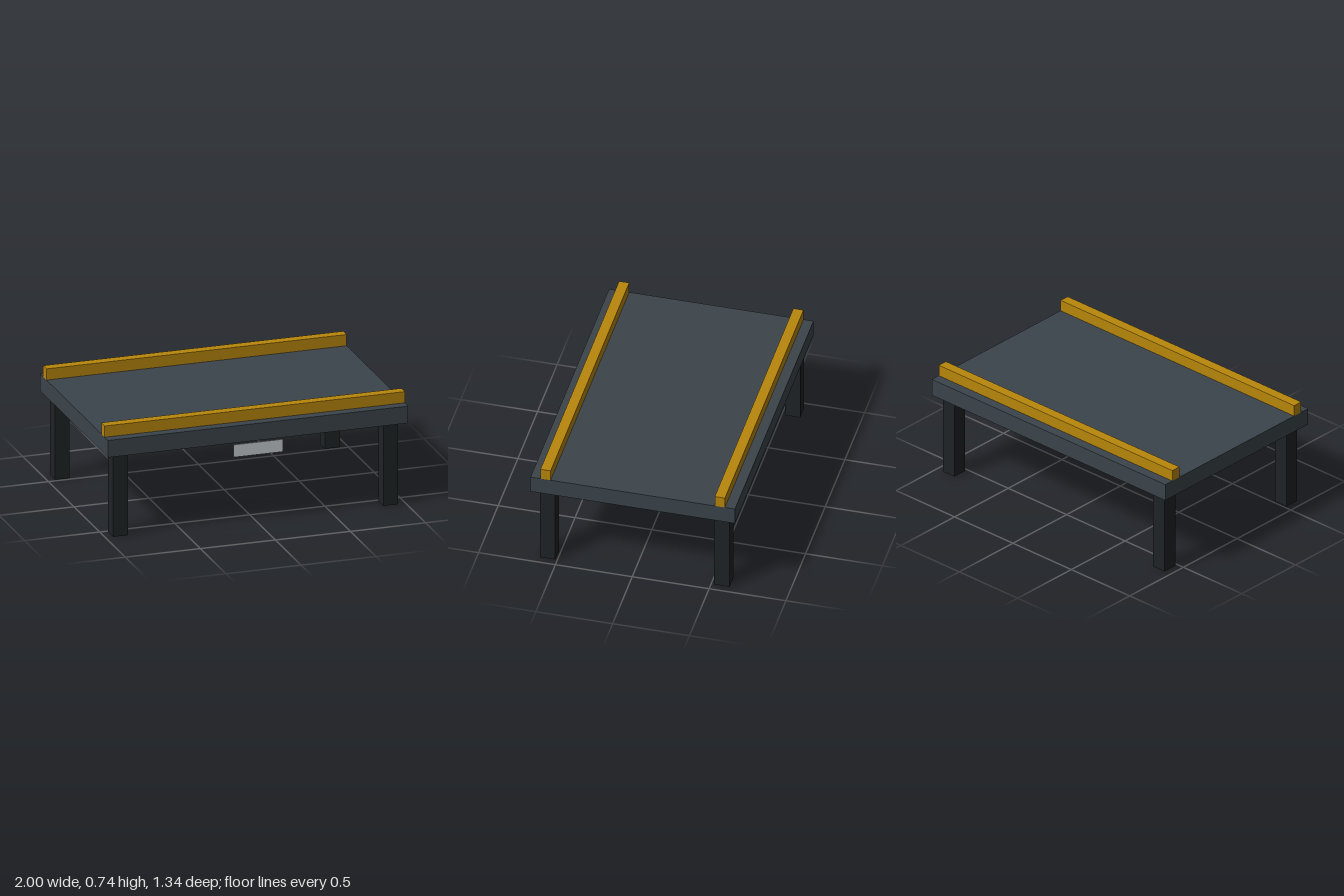
import * as THREE from 'three';

const paint = (color) => new THREE.MeshStandardMaterial({ color });
const deckPaint = paint(0x3b444b);
const railPaint = paint(0xb8860b);
const legPaint = paint(0x1f2326);
const platePaint = paint(0xc8ccd0);

const DECK_BOTTOM = 0.553;
const DECK_TOP = 0.667;
const DECK_Z = -0.003; // the front plate shifts the deck slightly back

// Box given by its size, centre x and z, and the height of its base
function addBox(parent, name, material, [w, h, d], x, base, z) {
  const mesh = new THREE.Mesh(new THREE.BoxGeometry(w, h, d), material);
  mesh.name = name;
  mesh.position.set(x, base + h / 2, z);
  parent.add(mesh);
}

export function createModel() {
  const model = new THREE.Group();
  model.name = 'railedPlatform';

  // Flat deck
  addBox(model, 'deck', deckPaint, [2, DECK_TOP - DECK_BOTTOM, 1.33], 0, DECK_BOTTOM, DECK_Z);

  for (const [end, sz] of [['front', 1], ['back', -1]]) {
    const z = DECK_Z + sz * 0.567;

    // Full-length rail on top of the deck
    addBox(model, `${end}Rail`, railPaint, [2, 0.075, 0.066], 0, DECK_TOP, z);

    // Pair of square legs
    for (const [side, sx] of [['Left', 1], ['Right', -1]]) {
      addBox(model, `${end}${side}Leg`, legPaint, [0.098, DECK_BOTTOM, 0.1], sx * 0.9, 0, z);
    }
  }

  // Thin plate hanging below the front edge
  addBox(model, 'frontPlate', platePaint, [0.33, 0.083, 0.007], 0, 0.46, 0.664);

  return model;
}
